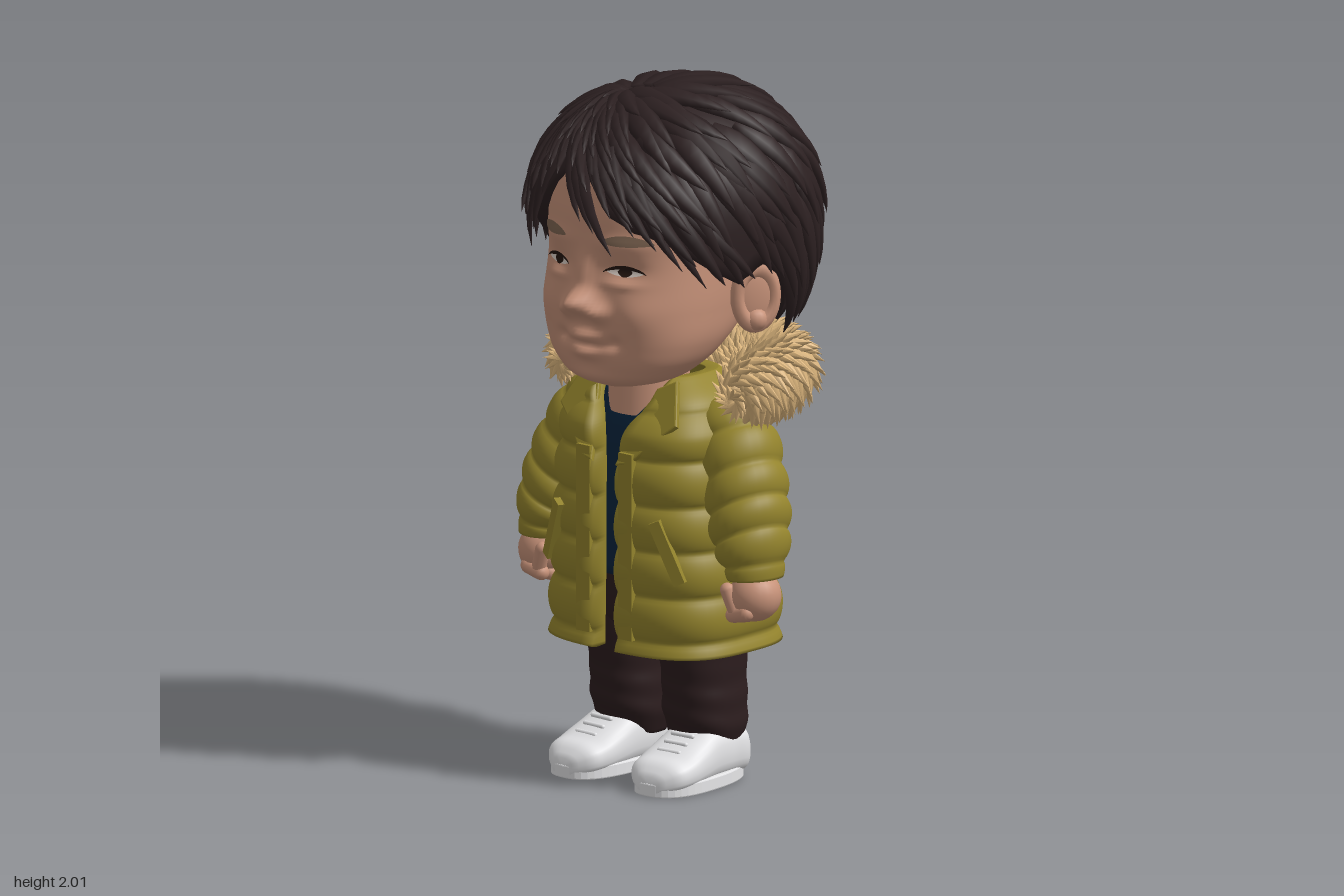
import * as THREE from 'three';
import { mergeGeometries } from 'three/addons/utils/BufferGeometryUtils.js';

const V = (x, y, z) => new THREE.Vector3(x, y, z);
const X = V(1, 0, 0), Y = V(0, 1, 0), Z = V(0, 0, 1), TAU = Math.PI * 2;
const mat = (name, color) => Object.assign(new THREE.MeshStandardMaterial({ color }), { name });
const spow = (v, p) => Math.sign(v) * Math.pow(Math.abs(v), p);
const range = (n, f) => Array.from({ length: n }, (_, i) => f(i));
const bump = (d, s) => Math.exp(-(d / s) * (d / s));
let seed = 7;
const rnd = () => ((seed = (seed * 16807) % 2147483647) / 2147483647);

// Smooth interpolation of rows [key, ...values]
function table(rows) {
  const f = new THREE.CubicInterpolant(rows.map(r => r[0]), rows.flatMap(r => r.slice(1)), rows[0].length - 1);
  return k => Array.from(f.evaluate(k));
}
// Superellipse ring around c, with axes s and n
const ring = (c, s, n, ra, rb, count, e = 1) => range(count, j => c.clone()
  .addScaledVector(s, ra * spow(Math.cos(j / count * TAU), e)).addScaledVector(n, rb * spow(Math.sin(j / count * TAU), e)));
// Closed skin over rings of points, with optional fan caps
function loft(rings, caps = true, endPoint = null) {
  const n = rings[0].length, pts = rings.flat(), idx = [], last = rings.length - 1;
  for (let i = 0; i < last; i++) for (let j = 0; j < n; j++) {
    const a = i * n + j, b = i * n + (j + 1) % n;
    idx.push(a, a + n, b, b, a + n, b + n);
  }
  if (caps) for (const r of [0, last]) {
    const c = pts.length, mid = rings[r].reduce((s, p) => s.add(p), V(0, 0, 0)).divideScalar(n);
    pts.push(r && endPoint ? endPoint : mid);
    for (let j = 0; j < n; j++) idx.push(c, ...(r ? [r * n + (j + 1) % n, r * n + j] : [j, (j + 1) % n]));
  }
  const g = new THREE.BufferGeometry().setFromPoints(pts).setIndex(idx);
  g.computeVertexNormals();
  return g;
}
// Upright body from rows [y, halfWidth, zFront, zBack]
function stack(rows, exp, steps, segs, warp = p => p) {
  const f = table(rows), y0 = rows[0][0], y1 = rows.at(-1)[0];
  return loft(range(steps + 1, i => {
    const y = y0 + (y1 - y0) * i / steps, [w, zf, zb] = f(y);
    return ring(V(0, y, (zf + zb) / 2), X, Z, w, (zf - zb) / 2, segs, 2 / exp).map(warp);
  }));
}

const HEAD = [[1.165, .075, .27, .1], [1.185, .145, .315, .06], [1.23, .213, .342, 0], [1.3, .26, .355, -.08], [1.4, .28, .36, -.18],
  [1.55, .285, .36, -.3], [1.7, .28, .36, -.3], [1.82, .25, .325, -.26], [1.92, .14, .2, -.16]];
const headAt = table(HEAD);
// Facial relief: [x, y, height, spreadX, spreadY], mirrored where x > 0
const RELIEF = [[0, 1.425, .078, .045, .035], [0, 1.5, .024, .028, .06], [.058, 1.4, .036, .028, .026], [.12, 1.525, -.018, .06, .03],
  [.12, 1.6, .01, .08, .025], [.17, 1.4, .016, .07, .06], [0, 1.325, .024, .055, .018], [0, 1.302, -.009, .07, .007],
  [0, 1.275, .024, .05, .018], [.095, 1.312, -.016, .025, .02], [0, 1.2, .012, .07, .03], [.12, 1.485, .008, .05, .012]];
const relief = (x, y) => RELIEF.reduce((sum, [cx, cy, h, sx, sy]) => sum + h * bump(Math.abs(x) - cx, sx) * bump(y - cy, sy), 0);
function faceZ(x, y) {
  const [w, zf, zb] = headAt(y);
  return (zf + zb) / 2 + (zf - zb) / 2 * Math.pow(1 - Math.pow(Math.abs(x / w), 2.4), 1 / 2.4) + relief(x, y);
}
// Thin patch lying on the face
function facePatch([x0, x1], low, high, lift) {
  const g = new THREE.PlaneGeometry(1, 1, 14, 4), p = g.attributes.position;
  for (let i = 0; i < p.count; i++) {
    const u = p.getX(i) + .5, x = x0 + (x1 - x0) * u, y = low(u) + (high(u) - low(u)) * (p.getY(i) + .5);
    p.setXYZ(i, x, y, faceZ(x, y) + lift);
  }
  g.computeVertexNormals();
  return g;
}

// Hair volume spread around a crown whorl, ending at a hairline of [degrees, y]
const HC = V(0, 1.62, -.02), POLE = V(-.1, .36, .11).normalize(), E1 = X.clone().cross(POLE).normalize(), E2 = POLE.clone().cross(E1);
const LINE = [[0, 1.8], [8, 1.74], [15, 1.69], [25, 1.65], [35, 1.63], [50, 1.57], [70, 1.48], [85, 1.54], [100, 1.45], [115, 1.32], [140, 1.28], [181, 1.28]];
const LINE_R = [[0, 1.8], [10, 1.81], [20, 1.76], [29, 1.68], [40, 1.63], [55, 1.57], ...LINE.slice(6)];
function hairline(p) {
  const deg = Math.atan2(p.x, p.z - HC.z) * 360 / TAU, L = deg < 0 ? LINE_R : LINE, d = Math.abs(deg);
  const i = L.findIndex(r => r[0] > d), [a, b] = [L[i - 1], L[i]];
  return a[1] + (b[1] - a[1]) * (d - a[0]) / (b[0] - a[0]);
}
function hairPoint(a, t, scale) {
  const d = POLE.clone().multiplyScalar(Math.cos(t)).addScaledVector(E1, Math.cos(a) * Math.sin(t)).addScaledVector(E2, Math.sin(a) * Math.sin(t));
  const k = Math.hypot(d.x / .385, d.z / (d.z > 0 ? .42 : .4)), h = Math.abs(d.y) / (d.y > 0 ? .365 : .46);
  return d.multiplyScalar(scale * Math.pow(Math.pow(k, 2.2) + Math.pow(h, 2.2), -1 / 2.2)).add(HC);
}
function hairEnd(a) {
  let t = .1;
  for (let p = hairPoint(a, t, 1); t < 2.7 && p.y >= hairline(p); p = hairPoint(a, t, 1)) t += .02;
  return t;
}
function lock(a, t0, t1, width, swirl, lift) {
  const at = u => hairPoint(a + swirl * (u - 1), t0 + (t1 - t0) * u, .97 + lift * u);
  return loft(range(9, i => {
    const u = i / 8, p = at(u), n = p.clone().sub(HC).normalize();
    const s = at(u + .02).sub(at(u - .02)).cross(n).normalize();
    const k = Math.min(1, .45 + u * 1.8) * Math.pow(1 - u, .65) + .01;
    return ring(p, s, n, width * k, .028 * k, 6);
  }));
}

export function createModel() {
  const root = new THREE.Group();
  const skin = mat('skin', 0xc8937a), hair = mat('hair', 0x2c2021), brow = mat('eyebrow', 0x7c6350), dark = mat('iris', 0x24160f);
  const coat = mat('coat olive', 0x94842d), fur = mat('fur tan', 0xdfb87f), navy = mat('shirt navy', 0x08253e);
  const trousers = mat('trousers', 0x2c1d1e), white = mat('shoe white', 0xe8e8ea), eyeWhite = mat('eye white', 0xd9cdc4);
  const place = (o, x, y, z, rx = 0, ry = 0, rz = 0) => { o.position.set(x, y, z); o.rotation.set(rx, ry, rz); return o; };
  const add = (name, geo, m, parent = root) => {
    const o = Object.assign(geo ? new THREE.Mesh(geo, m) : new THREE.Group(), { name });
    parent.add(o);
    return o;
  };
  // Head, neck, eyes and ears
  add('head', stack(HEAD, 2.4, 90, 160, p => { if (p.z > .14) p.z += relief(p.x, p.y); return p; }), skin);
  place(add('neck', new THREE.CylinderGeometry(.11, .12, .14, 24), skin), 0, 1.14, .09);
  for (const s of [1, -1]) {
    const span = (a, b) => s > 0 ? [a, b] : [-b, -a], arc = u => Math.pow(Math.max(0, Math.sin(Math.PI * u)), .7);
    add('eyeWhite', facePatch(span(.072, .178), u => 1.521 - .012 * arc(u), u => 1.521 + .013 * arc(u), .003), eyeWhite);
    add('iris', facePatch(span(.103, .146), u => 1.522 - .014 * arc(u), u => 1.522 + .014 * arc(u), .005), dark);
    add('upperLid', facePatch(span(.064, .186), u => 1.518 + .012 * arc(u), u => 1.52 + .022 * arc(u), .007), dark);
    add('eyebrow', facePatch(span(.068, .205), u => 1.606 - .006 * arc(u), u => 1.61 + .021 * arc(u), .004), brow);
    const ear = place(add('ear'), s * .325, 1.43, .005, 0, s * 1.1, 0);
    add('earRim', new THREE.TorusGeometry(.055, .02, 10, 28), skin, ear).scale.set(1, 1.45, 1.2);
    add('earBowl', new THREE.SphereGeometry(.06, 20, 14), skin, ear).scale.set(1, 1.45, .3);
    place(add('earLobe', new THREE.SphereGeometry(.035, 14, 10), skin, ear), 0, -.068, 0);
  }
  // Hair: cap, rows of overlapping tapered locks, and fringe locks aimed at tips [x, y]
  const ends = range(96, j => hairEnd(j / 96 * TAU));
  const cap = range(17, i => ends.map((e, j) => hairPoint(j / 96 * TAU, .02 + (e - .02) * i / 16, .975)));
  add('hairCap', loft(cap, true, V(0, 1.5, 0)), hair);
  const locks = [[1, 46], [.88, 40], [.75, 36], [.62, 30], [.48, 24], [.34, 16]].flatMap(([f, count], row) => range(count, i => {
    const a = (i + (row % 2) / 2 + (rnd() - .5) * .6) / count * TAU, end = hairEnd(a);
    const t1 = end * f + (rnd() - .5) * .12, t0 = Math.max(.01, t1 - Math.min(.75, end * .55));
    const w = .28 * Math.sin(Math.min(1.5, (t0 + t1) / 2 + .12)) * TAU / count;
    return lock(a, t0, t1, Math.min(.055, w), .2 + (rnd() - .5) * .3, .08 + rnd() * .035);
  }));
  for (const [x, y] of [[-.33, 1.5], [-.28, 1.57], [-.235, 1.6], [-.19, 1.6], [-.15, 1.71], [.03, 1.67], [.075, 1.64], [.13, 1.58], [.19, 1.64], [.245, 1.6], [.3, 1.54], [.345, 1.48]]) {
    const d = V(x, y, .41 * Math.sqrt(1 - x * x / .17)).sub(HC).normalize(), t = Math.acos(d.dot(POLE));
    locks.push(lock(Math.atan2(d.dot(E2), d.dot(E1)), t * .2, t, .04, x < -.1 ? -.25 : .3, .075));
  }
  add('hairLocks', mergeGeometries(locks), hair);
  // Shirt and trouser top
  add('shirt', stack([[.6, .2, .215, -.1], [.9, .2, .22, -.1], [1.06, .18, .205, -.1], [1.14, .13, .17, -.05]], 2.6, 20, 48), navy);
  add('hips', stack([[.42, .22, .14, -.11], [.47, .235, .17, -.125], [.58, .23, .19, -.13], [.64, .19, .19, -.11]], 2.5, 16, 48), trousers);
  const legRows = [[.1, .085, .085, -.09], [.13, .1, .11, -.105], [.19, .108, .13, -.112], [.3, .105, .14, -.112], [.45, .11, .16, -.115], [.6, .1, .15, -.1]];
  const crease = p => {
    const k = 1 + .035 * Math.sin(p.y * 75 + p.x * 14) * Math.max(0, 1 - p.y / .42);
    return V(p.x * k, p.y + Math.max(0, p.z - .02) * .35 * Math.max(0, 1 - p.y / .3), p.z * k);
  };
  // Coat: quilted open shell with thickness, rows [y, halfWidth, zFront, zBack, halfGap]
  const coatAt = table([[.4, .303, .265, -.215, .042], [.6, .296, .263, -.213, .04], [.8, .28, .262, -.205, .04], [.95, .268, .257, -.198, .044],
    [1.05, .255, .24, -.185, .065], [1.12, .22, .205, -.15, .105], [1.18, .15, .15, -.09, .12]]);
  const coatRing = (y, thickness) => {
    const [w0, zf, zb, gap] = coatAt(y);
    const puff = .022 * Math.pow(Math.abs(Math.sin(Math.PI * (y - .44) / .13)), .55) * Math.min(1, (1.2 - y) * 6);
    return [puff, -.035].flatMap((grow, inner) => {
      const d = grow * thickness, w = w0 + d, t = Math.acos(Math.pow(Math.min(.97, gap / w), 1.5));
      return range(65, k => {
        const a = -Math.PI - t + (Math.PI + 2 * t) * (inner ? 64 - k : k) / 64;
        return V(w * spow(Math.cos(a), 2 / 3), y, (zf + zb) / 2 + ((zf - zb) / 2 + d) * spow(Math.sin(a), 2 / 3));
      });
    });
  };
  add('coatBody', loft([coatRing(.397, 0), ...range(91, i => coatRing(.4 + .778 * i / 90, 1)), coatRing(1.18, 0)], false), coat);
  const bevel = (depth, r) => ({ depth, bevelEnabled: true, bevelSize: r, bevelThickness: r, bevelSegments: 2 });
  const lapel = new THREE.Shape([[.05, -.02], [.09, -.01], [.16, .07], [.215, .12], [.17, .24], [.115, .21], [.07, .06]].map(p => new THREE.Vector2(...p)));
  const sleeveAt = table([[0, .2, 1.1, .01, .07], [.18, .262, 1.02, .02, .1], [.4, .32, .9, .045, .108], [.68, .367, .77, .07, .104],
    [.88, .393, .69, .085, .088], [1, .402, .64, .09, .068]]);
  const armDir = V(.5, -.83, .15).normalize(), armFront = Z.clone().addScaledVector(armDir, -armDir.z).normalize(), armSide = armDir.clone().cross(armFront);
  const shoeAt = table([[-.108, .045, .09], [-.085, .078, .14], [0, .09, .165], [.07, .095, .165], [.13, .1, .135], [.2, .1, .1], [.25, .082, .08], [.278, .04, .05]]);
  const soleShape = new THREE.Shape(range(40, j => j / 40 * TAU).map(a =>
    new THREE.Vector2((.095 + .011 * Math.sin(a)) * spow(Math.cos(a), .75), .087 + .19 * spow(Math.sin(a), .85))));
  for (const s of [1, -1]) {
    const half = add(s > 0 ? 'leftSide' : 'rightSide');
    // Placket, pocket and lapel
    place(add('placket', new THREE.BoxGeometry(.05, .54, .02), coat, half), s * .08, .71, .272);
    place(add('pocketWelt', new THREE.BoxGeometry(.035, .19, .025), coat, half), s * .215, .71, .252, 0, s * .42, s * .42);
    const flap = new THREE.ExtrudeGeometry(lapel, bevel(.008, .005));
    if (s < 0) flap.rotateY(Math.PI).translate(0, 0, .008);
    place(add('lapel', flap, coat, half), 0, .96, .265, -.46);
    // Sleeve with puffed bands
    add('sleeve', loft(range(71, i => {
      const u = i / 70, [x, y, z, r] = sleeveAt(u), R = r - .006 + .017 * Math.pow(Math.abs(Math.sin(Math.PI * u * 5.5)), .55);
      const level = Math.min(1, Math.max(0, u - .7) * 3);
      const pts = ring(V(x, y, z), armSide, armFront, R, R * 1.08, 28).map(p => V(s * p.x, p.y + (y - p.y) * level, p.z));
      return s > 0 ? pts : pts.reverse();
    })), coat, half);
    // Fist
    place(add('palm', new THREE.SphereGeometry(.074, 20, 16), skin, half), s * .402, .59, .09);
    for (let k = 0; k < 4; k++) place(add('finger', new THREE.CapsuleGeometry(.023, .05, 5, 10), skin, half),
      s * .39, .537 + .005 * Math.abs(k - 1), .142 - k * .034, 0, 0, Math.PI / 2 + s * .25);
    place(add('thumb', new THREE.CapsuleGeometry(.021, .06, 5, 10), skin, half), s * .362, .58, .148, .15, 0, s * .35);
    // Trouser leg, then shoe with sole and laces
    place(add('trouserLeg', stack(legRows, 2.3, 50, 40, crease), trousers, half), s * .137, 0, 0);
    const shoe = place(add('shoe', null, null, half), s * .147, 0, 0, 0, s * .06, 0);
    add('shoeUpper', loft(range(37, i => {
      const z = -.108 + .386 * i / 36, [w, h] = shoeAt(z);
      return ring(V(0, .008 + h / 2, z), X, Y, -w, h / 2, 28, .75);
    })), white, shoe);
    add('sole', new THREE.ExtrudeGeometry(soleShape, bevel(.03, .004)).rotateX(Math.PI / 2).translate(0, .034, 0), white, shoe);
    for (let k = 0; k < 4; k++)
      place(add('lace', new THREE.CapsuleGeometry(.007, .07, 4, 8), white, shoe), 0, .167 - k * .018, .092 + k * .03, 0, 0, Math.PI / 2);
  }
  // Fur collar: horseshoe roll covered in overlapping tufts
  const side = [[.325, 1.14, .09], [.322, 1.16, 0], [.295, 1.175, -.13], [.175, 1.18, -.225]];
  const curve = new THREE.CatmullRomCurve3([...side, [0, 1.18, -.26], ...side.map(([x, y, z]) => [-x, y, z]).reverse()].map(p => V(...p)));
  const tufts = [];
  const roll = range(61, i => {
    const u = i / 60, p = curve.getPointAt(u), T = curve.getTangentAt(u), e = 2 * u - 1;
    const out = T.clone().cross(Y).normalize(), rise = out.clone().cross(T).normalize();
    const r = .088 * Math.sqrt(Math.max(.03, 1 - Math.pow(e, 14)));
    const radial = a => out.clone().multiplyScalar(Math.cos(a)).addScaledVector(rise, Math.sin(a));
    for (let j = 0; j < 13; j++) {
      const a = (j + (i % 2) / 2 + (rnd() - .5) * .4) / 13 * TAU, R = radial(a);
      const dir = R.clone().addScaledVector(radial(a - Math.PI / 2), 1.7).addScaledVector(T, (rnd() - .5) * .5 + spow(e, 21) * .9).normalize();
      const tuft = new THREE.ConeGeometry(.024, .08 + rnd() * .02, 6, 1, true).applyQuaternion(new THREE.Quaternion().setFromUnitVectors(Y, dir));
      tufts.push(tuft.translate(...p.clone().addScaledVector(R, r + .002).addScaledVector(dir, .01).toArray()));
    }
    return ring(p, out, rise, r, r, 18);
  });
  add('furRoll', loft(roll), fur);
  add('furTufts', mergeGeometries(tufts), fur);
  return root;
}
